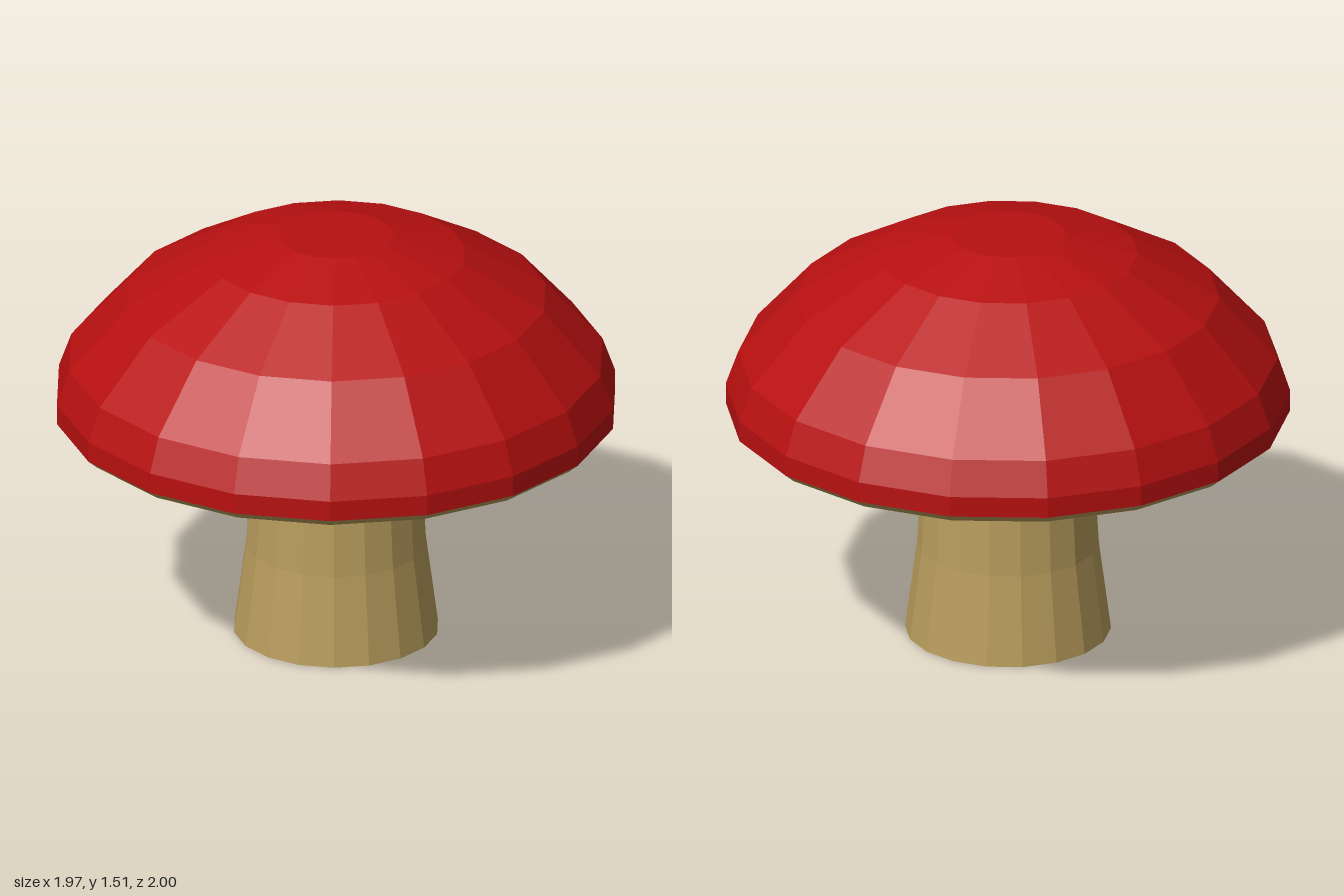
import * as THREE from 'three';

const SIDES = 18;
const red = new THREE.MeshStandardMaterial({ color: 0xb81010, flatShading: true });
const tan = new THREE.MeshStandardMaterial({ color: 0xb89c5c, flatShading: true });

// Faceted solid of revolution; the profile runs [radius, height] from bottom to top
function turned(name, profile, material) {
  const points = profile.map(([r, y]) => new THREE.Vector2(r, y));
  const mesh = new THREE.Mesh(new THREE.LatheGeometry(points, SIDES), material);
  mesh.name = name;
  return mesh;
}

export function createModel() {
  const group = new THREE.Group();
  group.name = 'mushroom';

  // Stem: closed base, gentle taper, flared collar where it meets the cap
  group.add(turned('stem', [
    [0, 0], [0.365, 0], [0.322, 0.33], [0.304, 0.64], [0.3, 0.83], [0.35, 0.88],
  ], tan));

  // Underside: shallow hollow cone with a bevelled lip
  group.add(turned('capUnderside', [[0.35, 0.88], [0.965, 0.82], [1, 0.85]], tan));

  // Cap: faceted dome with a flat top
  group.add(turned('cap', [
    [1, 0.85], [1, 0.925], [0.955, 1.05], [0.75, 1.28], [0.46, 1.445], [0.205, 1.515], [0, 1.515],
  ], red));

  return group;
}
